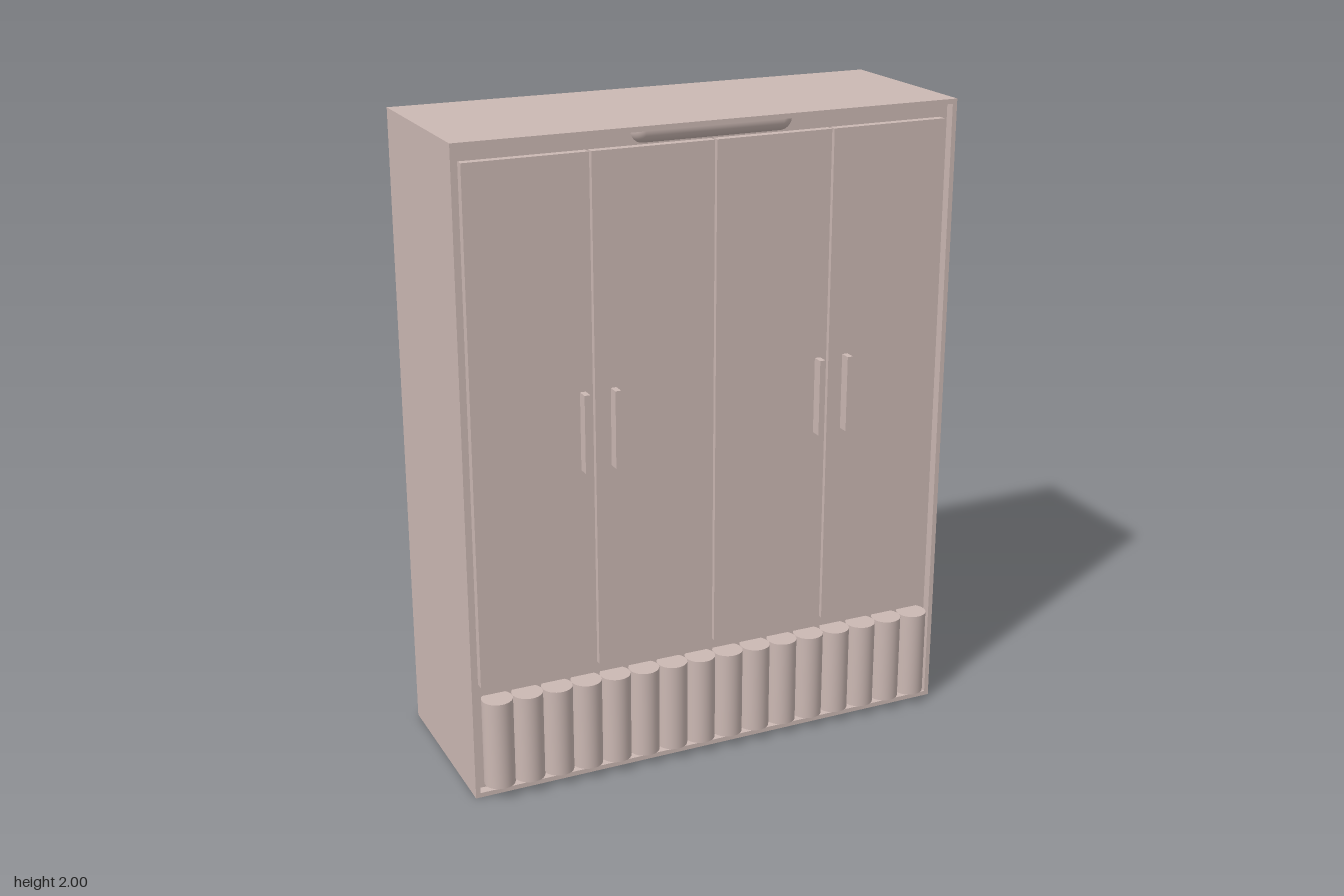
import * as THREE from 'three';

export function createModel() {
  const group = new THREE.Group();
  const paint = new THREE.MeshStandardMaterial({ color: 0xcbb8b3 });
  paint.name = 'dusty pink';

  function add(name, geometry, x = 0, y = 0, z = 0) {
    const mesh = new THREE.Mesh(geometry, paint);
    mesh.name = name;
    mesh.position.set(x, y, z);
    group.add(mesh);
    return mesh;
  }
  // Box given by its limits on each axis
  function box(name, x0, x1, y0, y1, z0, z1) {
    return add(name, new THREE.BoxGeometry(x1 - x0, y1 - y0, z1 - z0),
      (x0 + x1) / 2, (y0 + y1) / 2, (z0 + z1) / 2);
  }

  const W = 0.797, H = 2, BACK = -0.313, FRONT = 0.265, INNER = 0.235, RIM = 0.015;

  // Carcass with a thin raised rim around the front
  box('carcass', -W, W, 0, H, BACK, INNER);
  const rim = new THREE.Shape();
  rim.moveTo(-W, 0).lineTo(W, 0).lineTo(W, H).lineTo(-W, H).closePath();
  const opening = new THREE.Path();
  opening.moveTo(-W + RIM, RIM).lineTo(-W + RIM, H - RIM)
    .lineTo(W - RIM, H - RIM).lineTo(W - RIM, RIM).closePath();
  rim.holes.push(opening);
  add('frontRim', new THREE.ExtrudeGeometry(rim, { depth: FRONT - INNER, bevelEnabled: false }), 0, 0, INNER);

  // Four tall doors
  const doors = [[-0.767, -0.394], [-0.387, -0.007], [0, 0.373], [0.381, 0.757]];
  for (const [x0, x1] of doors) box('door', x0, x1, 0.365, 1.943, INNER, 0.262);

  // Bar handles
  for (const x of [-0.425, -0.329, 0.343, 0.438]) {
    box('handle', x - 0.009, x + 0.009, 1.005, 1.245, 0.26, 0.297);
  }

  // Row of round flutes along the base
  const count = 16, left = -0.767, pitch = (0.763 - left) / count;
  const flute = new THREE.CylinderGeometry(pitch / 2, pitch / 2, 0.283, 32);
  for (let i = 0; i < count; i++) {
    add('flute', flute, left + pitch * (i + 0.5), 0.1825, FRONT);
  }

  // Rounded grip above the doors: the lower half of a capsule
  const r = 0.04, x0 = -0.26, x1 = 0.255;
  const profile = [new THREE.Vector2(0, x0)];
  for (let i = 1; i <= 8; i++) {
    const a = i / 8 * Math.PI / 2;
    profile.push(new THREE.Vector2(r * Math.sin(a), x0 + r * (1 - Math.cos(a))));
  }
  for (let i = 0; i <= 8; i++) {
    const a = i / 8 * Math.PI / 2;
    profile.push(new THREE.Vector2(r * Math.cos(a), x1 - r + r * Math.sin(a)));
  }
  const grip = new THREE.LatheGeometry(profile, 16, 0, Math.PI);
  // Lay the half capsule along x with its round side down
  grip.rotateZ(-Math.PI / 2);
  add('topGrip', grip, 0, H - RIM, 0.222);

  return group;
}
